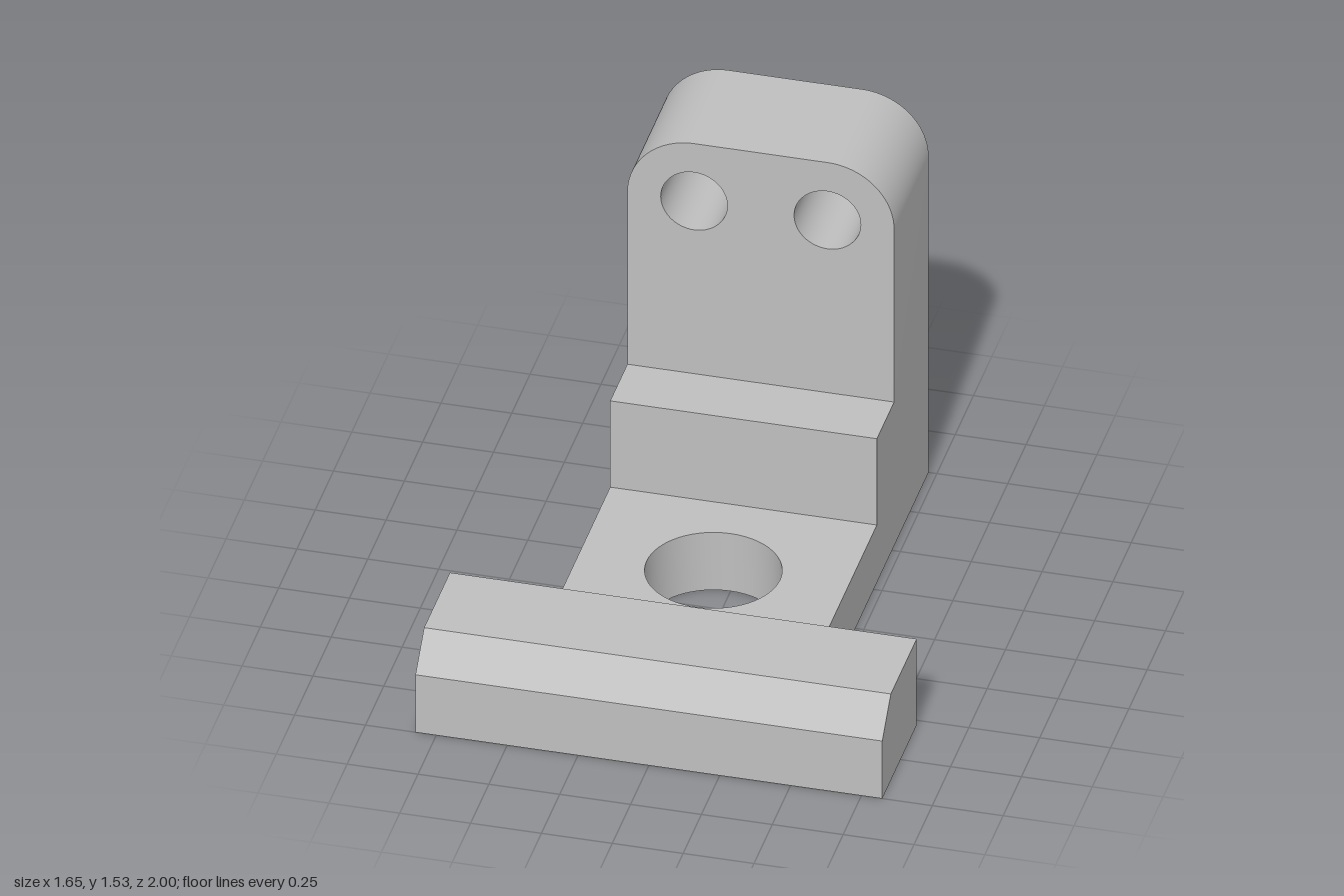
import * as THREE from 'three';
import { toCreasedNormals } from 'three/addons/utils/BufferGeometryUtils.js';

const U = 1 / 17; // design unit: the bracket is 34 units long

const material = new THREE.MeshStandardMaterial({ color: 0xbfbfbf });
material.name = 'plain grey';

function polygon(points) {
  return new THREE.Shape(points.map(([x, y]) => new THREE.Vector2(x, y)));
}

function addHole(shape, x, y, radius) {
  const hole = new THREE.Path();
  hole.absarc(x, y, radius, 0, Math.PI * 2, true);
  shape.holes.push(hole);
}

// Extrudes a shape, smoothing curved walls while keeping edges sharp
function extrude(shape, depth) {
  const geometry = new THREE.ExtrudeGeometry(shape, { depth, bevelEnabled: false, curveSegments: 32 });
  return toCreasedNormals(geometry, 0.5);
}

export function createModel() {
  const bracket = new THREE.Group();
  bracket.name = 'bracket';

  const add = (name, geometry) => {
    geometry.scale(U, U, U);
    const mesh = new THREE.Mesh(geometry, material);
    mesh.name = name;
    bracket.add(mesh);
  };

  // Upright with rounded top corners and two through holes
  const upright = new THREE.Shape();
  upright.moveTo(-8, 0);
  upright.lineTo(8, 0);
  upright.lineTo(8, 22);
  upright.absarc(4, 22, 4, 0, Math.PI / 2, false);
  upright.lineTo(-4, 26);
  upright.absarc(-4, 22, 4, Math.PI / 2, Math.PI, false);
  upright.closePath();
  for (const side of [-1, 1]) addHole(upright, side * 4, 22, 2);
  add('upright', extrude(upright, 8).translate(0, 0, -17));

  // Step in front of the upright
  add('step', new THREE.BoxGeometry(16, 10, 4).translate(0, 5, -7));

  // Base plate with a large vertical hole; shape y becomes -z
  const plate = polygon([[-8, -9], [8, -9], [8, 5], [-8, 5]]);
  addHole(plate, 0, -2, 4);
  add('basePlate', extrude(plate, 4).rotateX(-Math.PI / 2));

  // Wide front bar with a chamfered front edge; profile is (z, y)
  const bar = polygon([[9, 0], [17, 0], [17, 4], [15, 6], [9, 6]]);
  add('frontBar', extrude(bar, 28).translate(0, 0, -14).rotateY(-Math.PI / 2));

  return bracket;
}
